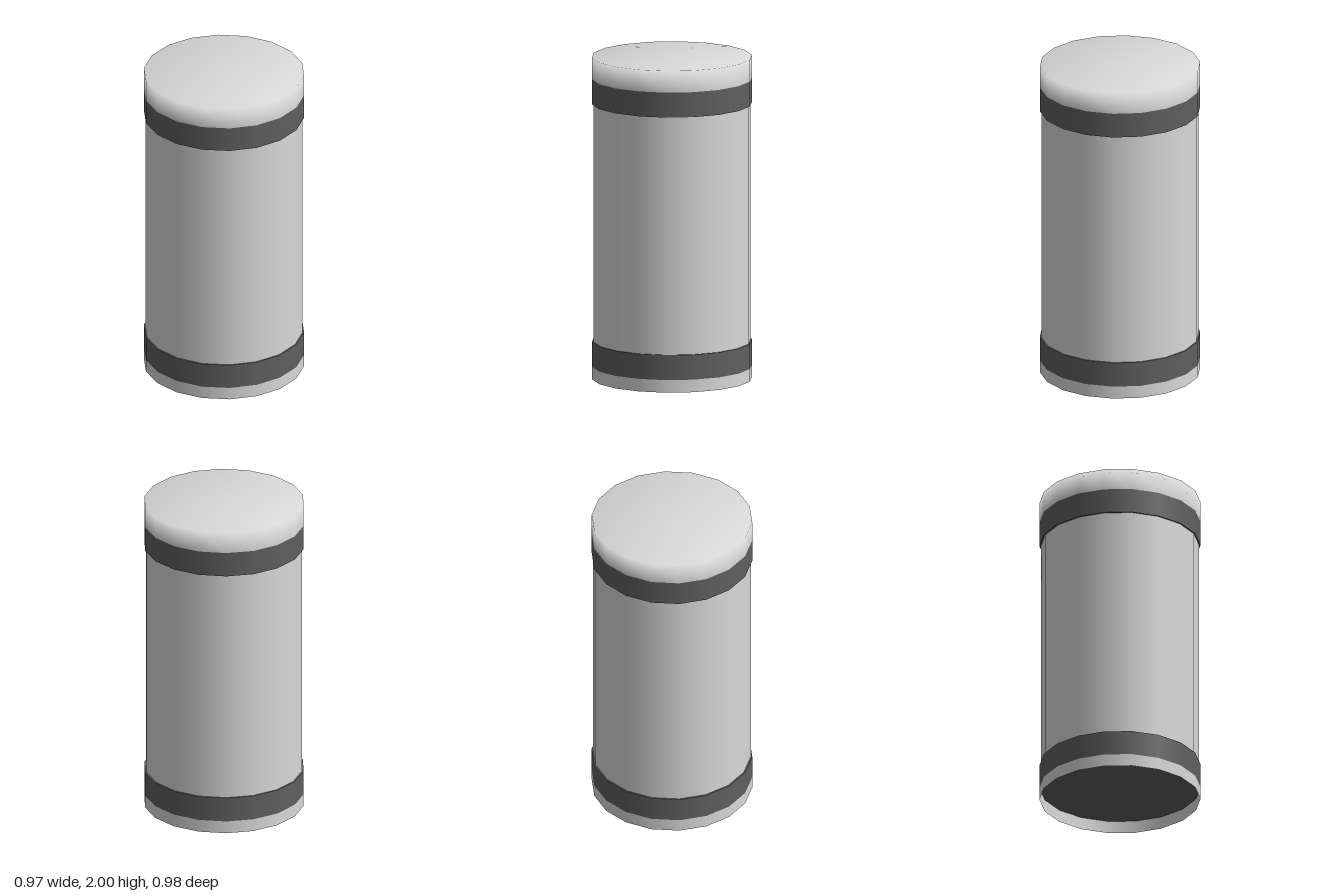
import * as THREE from 'three';

const SIDES = 18;
const RIM = 0.492;   // caps and bands
const BODY = 0.483;  // slightly slimmer main tube
const BAND_HEIGHT = 0.155;

export function createModel() {
  const group = new THREE.Group();
  const lightGrey = new THREE.MeshStandardMaterial({ color: 0xd9d9d9, side: THREE.DoubleSide });
  lightGrey.name = 'lightGrey';
  const darkGrey = new THREE.MeshStandardMaterial({ color: 0x5f5f5f });
  darkGrey.name = 'darkGrey';

  const add = (name, geometry, material, y = 0) => {
    const mesh = new THREE.Mesh(geometry, material);
    mesh.name = name;
    mesh.position.y = y;
    group.add(mesh);
  };
  const lathe = (...points) =>
    new THREE.LatheGeometry(points.map(([r, y]) => new THREE.Vector2(r, y)), SIDES);

  // Main tube between the two bands
  add('body', lathe([BODY, 0.2], [BODY, 1.75]), lightGrey);

  // Flat lid whose normals blend softly over the rim
  add('topCap', lathe([RIM, 1.865], [RIM, 2], [0, 2]), lightGrey);

  // Open foot ring
  add('footRing', lathe([RIM, 0], [RIM, 0.078]), lightGrey);

  // Dark bands, closed so the lower one forms the recessed underside
  const band = new THREE.CylinderGeometry(RIM, RIM, BAND_HEIGHT, SIDES);
  add('lowerBand', band, darkGrey, 0.078 + BAND_HEIGHT / 2);
  add('upperBand', band, darkGrey, 1.71 + BAND_HEIGHT / 2);

  return group;
}
